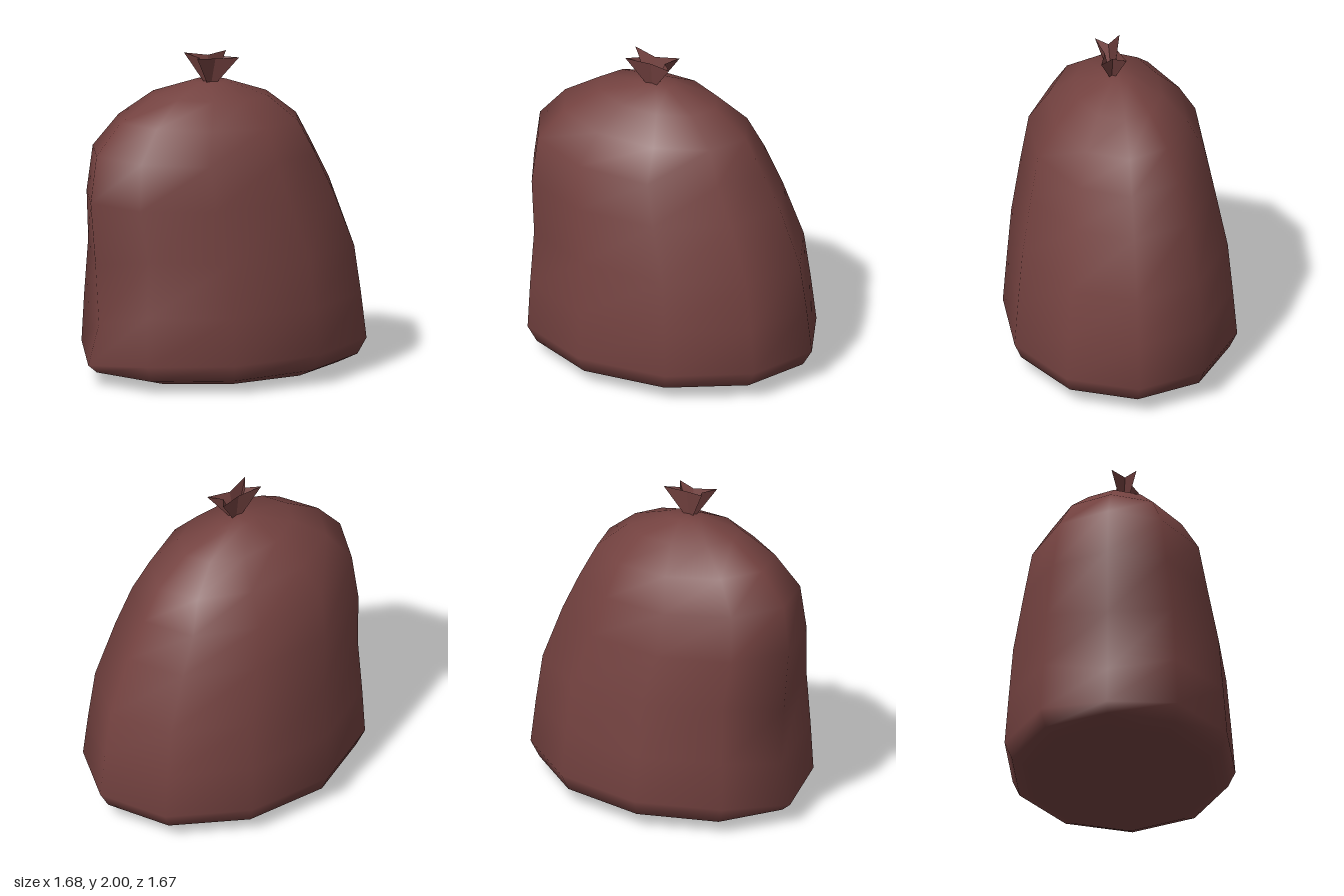
import * as THREE from 'three';
import { mergeVertices } from 'three/addons/utils/BufferGeometryUtils.js';

const SIDES = 10;
const R = Math.SQRT1_2;

// Horizontal frame turned 45 degrees: u is the long axis of the bag, v the short one
const place = (u, v, y) => [(u + v) * R, y, (v - u) * R];

// Skin a list of closed rings (bottom to top) with quads
function loft(rings) {
  const n = rings[0].length;
  const index = [];
  for (let i = 0; i < rings.length - 1; i++) {
    for (let j = 0; j < n; j++) {
      const k = (j + 1) % n;
      const a = i * n + j, b = a + n, c = i * n + k, d = c + n;
      index.push(a, b, c, b, d, c);
    }
  }
  const geo = new THREE.BufferGeometry();
  geo.setAttribute('position', new THREE.Float32BufferAttribute(rings.flat(2), 3));
  geo.setIndex(index);
  return geo;
}

// Sack cross-sections: height, centre along u, half length, half width, tilt
const SECTIONS = [
  [0.0, 0, 0, 0, 0],
  [0.01, 0, 0.46, 0.35, 0],
  [0.045, 0, 0.75, 0.57, 0],
  [0.09, 0, 0.885, 0.67, 0.01],
  [0.19, 0, 0.945, 0.715, 0.01],
  [0.48, -0.01, 0.92, 0.69, 0],
  [0.8, -0.02, 0.885, 0.66, -0.03],
  [1.13, -0.1, 0.83, 0.59, -0.01],
  [1.39, -0.14, 0.75, 0.535, -0.04],
  [1.585, -0.11, 0.61, 0.42, -0.035],
  [1.735, -0.095, 0.39, 0.27, -0.025],
  [1.815, -0.1, 0.12, 0.09, -0.005],
  [1.82, -0.115, 0, 0, 0],
];

function sackGeometry() {
  const rings = SECTIONS.map(([y, cu, a, b, tilt], i) =>
    Array.from({ length: SIDES }, (_, j) => {
      const t = (j / SIDES) * Math.PI * 2 + 0.03;
      let u = cu + a * Math.cos(t);
      let h = y + tilt * Math.cos(t);
      // Dent and sagging corner at the upright end
      if (j === SIDES / 2) {
        if (i === 4) h -= 0.05;
        if (i === 5) { u += 0.06; h -= 0.1; }
        if (i === 6) { u += 0.01; h -= 0.08; }
      }
      return place(u, b * Math.sin(t), h);
    }));
  const geo = mergeVertices(loft(rings));
  geo.computeVertexNormals();
  return geo;
}

// Gathered opening: a four-pointed flare rising from the tied neck
function gatherGeometry() {
  const cx = -0.06, cz = 0.105;
  // Tips and the folds between them, in order around the neck
  const rim = [
    [0.0, 1.98, -0.05], [0.01, 1.965, 0.05],
    [0.11, 1.965, 0.06], [-0.02, 1.965, 0.13],
    [-0.1, 1.99, 0.265], [-0.11, 1.975, 0.17],
    [-0.21, 2.0, 0.16], [-0.08, 1.975, 0.08],
  ];
  const neck = rim.map(([x, , z]) => [cx + (x - cx) * 0.16, 1.795, cz + (z - cz) * 0.16]);
  const geo = loft([neck, rim]).toNonIndexed();
  geo.computeVertexNormals();
  return geo;
}

export function createModel() {
  const group = new THREE.Group();
  group.name = 'tiedSack';
  const plastic = new THREE.MeshStandardMaterial({ color: 0x744240, side: THREE.DoubleSide });

  const sack = new THREE.Mesh(sackGeometry(), plastic);
  sack.name = 'sackBody';
  const gather = new THREE.Mesh(gatherGeometry(), plastic);
  gather.name = 'gatheredNeck';

  group.add(sack, gather);
  return group;
}
